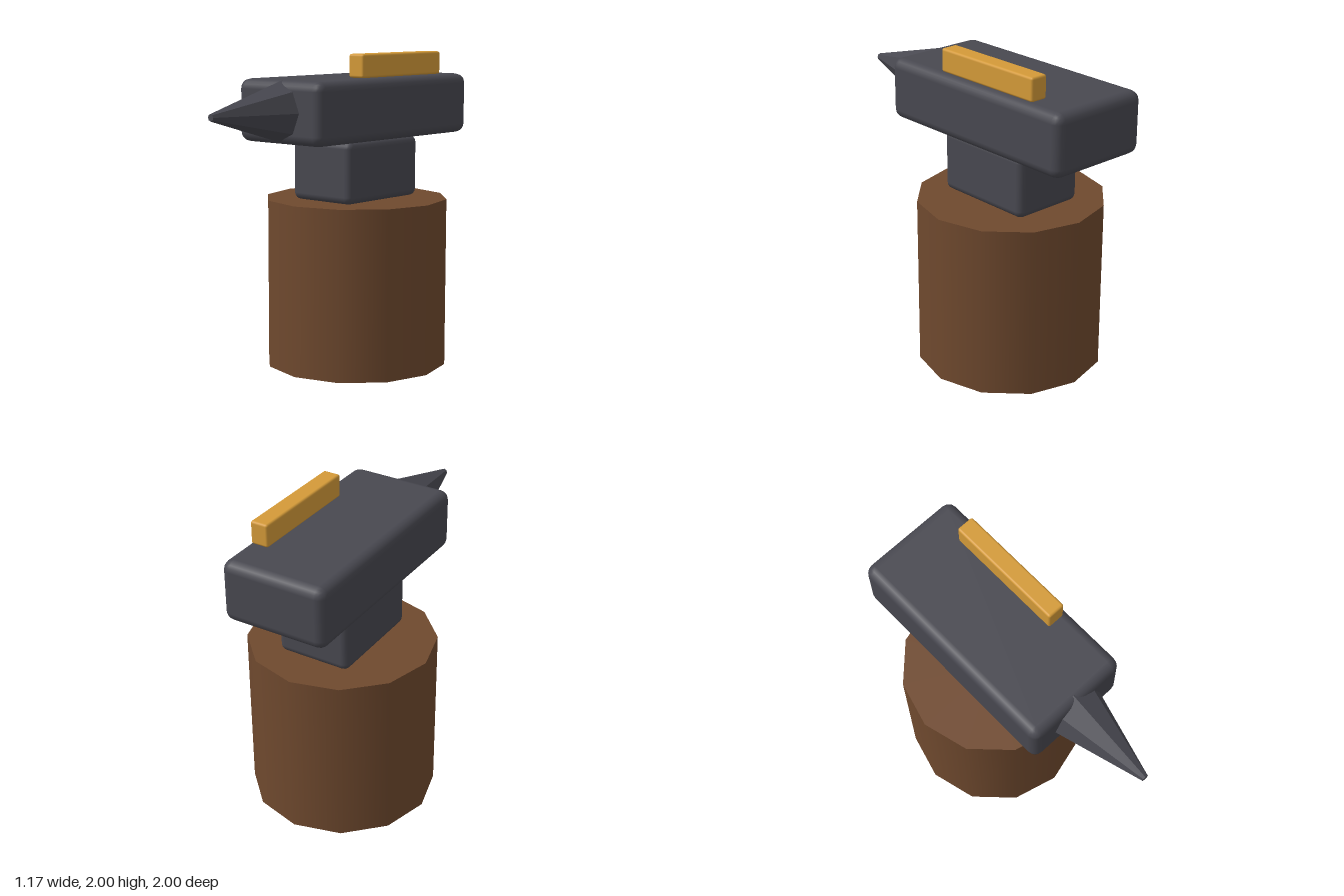
import * as THREE from 'three';
import { RoundedBoxGeometry } from 'three/addons/geometries/RoundedBoxGeometry.js';

const material = (name, color, extra = {}) => {
  const m = new THREE.MeshStandardMaterial({ color, ...extra });
  m.name = name;
  return m;
};

export function createModel() {
  const model = new THREE.Group();
  model.name = 'anvilOnStump';

  const iron = material('darkIron', 0x484850);
  const wood = material('stumpWood', 0x6f492e);
  const brass = material('goldenBar', 0xd49a38);

  const add = (name, geometry, mat, x, y, z) => {
    const mesh = new THREE.Mesh(geometry, mat);
    mesh.name = name;
    mesh.position.set(x, y, z);
    model.add(mesh);
    return mesh;
  };

  // Block with softly rounded edges
  const block = (name, w, h, d, radius, mat, x, y, z) =>
    add(name, new RoundedBoxGeometry(w, h, d, 2, radius), mat, x, y, z);

  // Twelve-sided stump
  add('stump', new THREE.CylinderGeometry(0.583, 0.583, 1.075, 12), wood, 0, 0.5375, -0.27);

  // Anvil waist and body
  block('waist', 0.48, 0.39, 0.68, 0.045, iron, 0, 1.27, -0.265);
  block('body', 0.68, 0.385, 1.455, 0.06, iron, 0, 1.6575, -0.2725);

  // Eight-sided faceted horn, its wide end sunk into the body
  const horn = new THREE.CylinderGeometry(0.022, 0.19, 0.59, 8).toNonIndexed();
  horn.rotateX(Math.PI / 2);
  horn.computeVertexNormals();
  add('horn', horn, iron, 0, 1.66, 0.705);

  // Bar lying on the anvil face
  block('bar', 0.115, 0.145, 0.77, 0.015, brass, 0.243, 1.9275, -0.365);

  return model;
}
